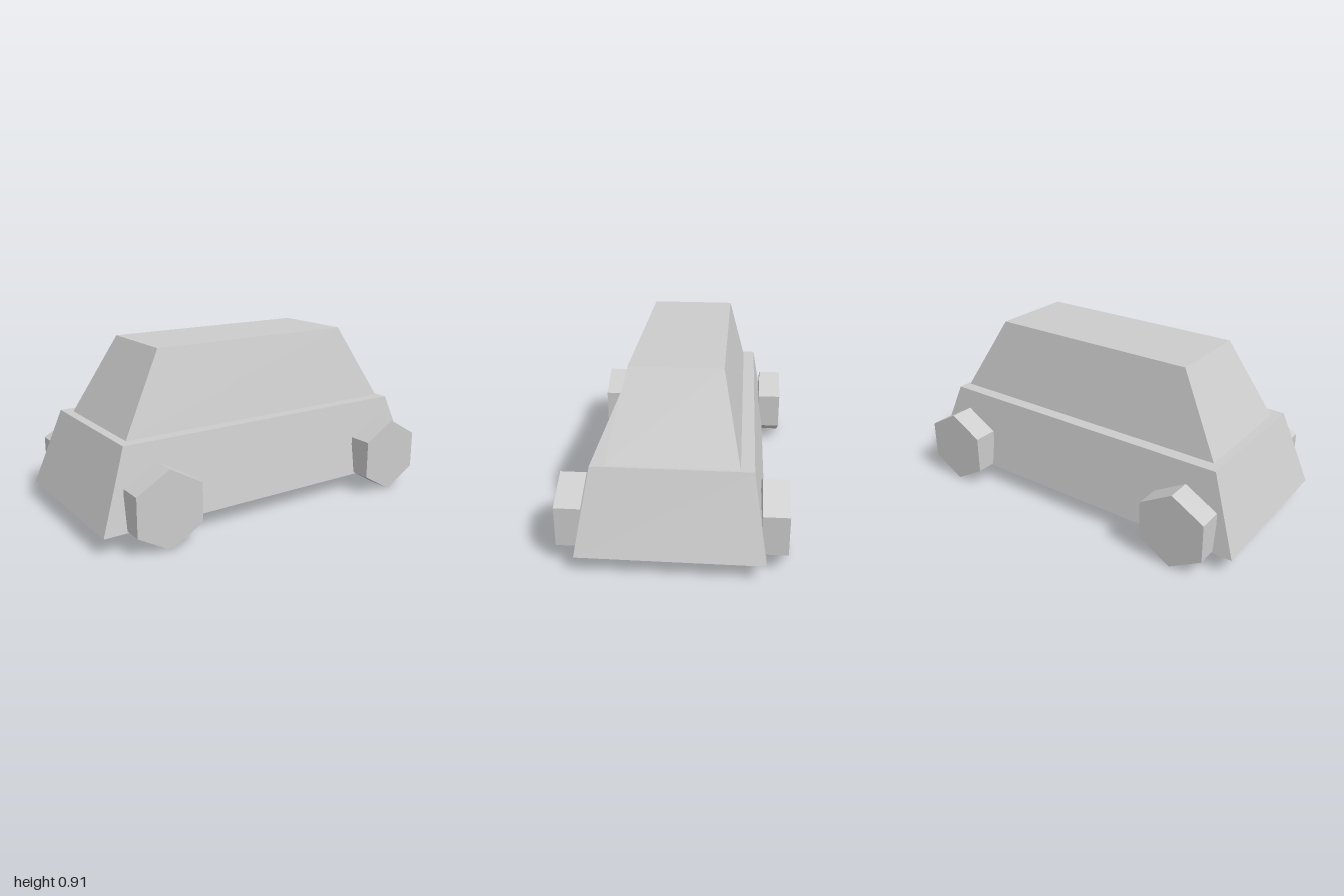
import * as THREE from 'three';

const material = new THREE.MeshStandardMaterial({ color: 0xcccccc, flatShading: true });

// Box whose bottom and top rectangles differ: { y, x0, x1, z } with z as half depth
function taperedBox(name, bottom, top) {
  const geometry = new THREE.BoxGeometry(1, 1, 1);
  const pos = geometry.attributes.position;
  for (let i = 0; i < pos.count; i++) {
    const ring = pos.getY(i) > 0 ? top : bottom;
    pos.setXYZ(i, pos.getX(i) > 0 ? ring.x1 : ring.x0, ring.y, Math.sign(pos.getZ(i)) * ring.z);
  }
  geometry.computeVertexNormals();
  const mesh = new THREE.Mesh(geometry, material);
  mesh.name = name;
  return mesh;
}

export function createModel() {
  const car = new THREE.Group();
  car.name = 'car';

  // Lower body and cabin
  car.add(taperedBox('body',
    { y: 0.093, x0: -1, x1: 1, z: 0.453 },
    { y: 0.5, x0: -0.853, x1: 0.85, z: 0.387 }));
  car.add(taperedBox('cabin',
    { y: 0.5, x0: -0.806, x1: 0.835, z: 0.321 },
    { y: 0.91, x0: -0.575, x1: 0.6, z: 0.23 }));

  // Six-sided wheels, point up, standing just off the body sides
  const radius = 0.204;
  const wheelGeometry = new THREE.CylinderGeometry(radius, radius, 0.13, 6).rotateX(Math.PI / 2);
  const wheels = [
    ['frontRightWheel', -0.7, 0.49],
    ['frontLeftWheel', 0.74, 0.49],
    ['backRightWheel', -0.718, -0.493],
    ['backLeftWheel', 0.74, -0.493],
  ];
  for (const [name, x, z] of wheels) {
    const wheel = new THREE.Mesh(wheelGeometry, material);
    wheel.name = name;
    wheel.position.set(x, radius, z);
    car.add(wheel);
  }
  return car;
}
